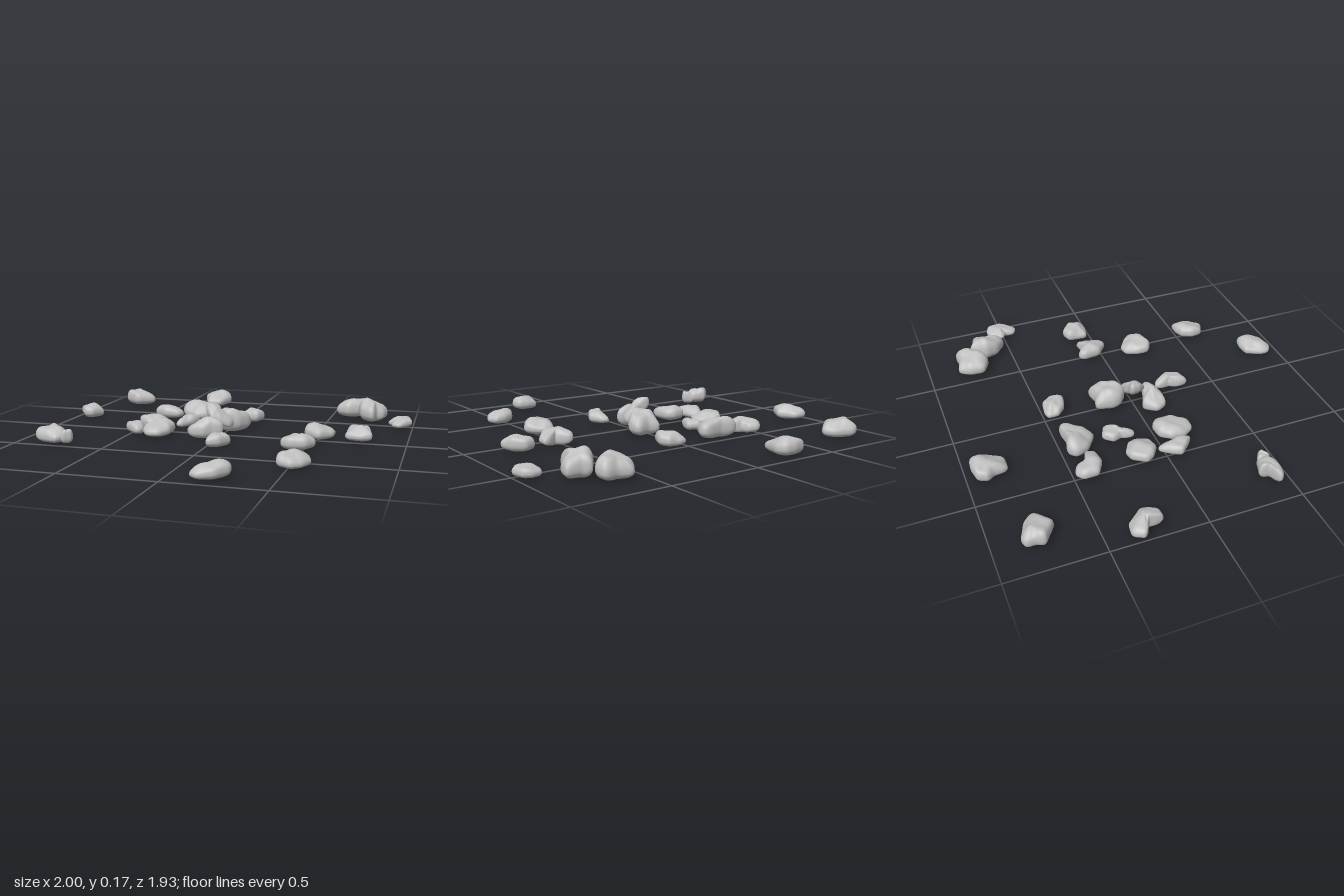
import * as THREE from 'three';
import { mergeVertices } from 'three/addons/utils/BufferGeometryUtils.js';

const stone = new THREE.MeshStandardMaterial({ color: 0xc0c0c0 });
stone.name = 'pale grey stone';

// Distance from the centre to the plan outline in one direction
function reachTo(outline, angle) {
  const d = new THREE.Vector2(Math.cos(angle), Math.sin(angle));
  let reach = 0;
  outline.forEach((a, i) => {
    const edge = outline[(i + 1) % outline.length].clone().sub(a);
    const det = d.cross(edge);
    if (Math.abs(det) < 1e-9) return;
    const along = a.cross(d) / det;
    if (along >= -1e-6 && along <= 1 + 1e-6) reach = Math.max(reach, a.cross(edge) / det);
  });
  return reach;
}

// The same distance with the corners worn round
function wornReach(outline, angle) {
  const near = reachTo(outline, angle - 0.13) + reachTo(outline, angle + 0.13);
  return 1.025 * (0.5 * reachTo(outline, angle) + 0.25 * near);
}

// Pebble over a plan outline, from base to top; slope leans it along x
function pebbleGeometry(outline, base, top, slope, seed) {
  const geo = new THREE.SphereGeometry(1, 48, 24);
  geo.deleteAttribute('uv');
  geo.deleteAttribute('normal');
  const pos = geo.attributes.position;
  const ridge = seed * 2.4;
  for (let i = 0; i < pos.count; i++) {
    const x = pos.getX(i), y = pos.getY(i), z = pos.getZ(i);
    const angle = Math.atan2(z, x);
    const flat = Math.hypot(x, z);
    const r = wornReach(outline, angle) * Math.pow(flat, y > 0 ? 0.95 : 0.8);
    const px = Math.cos(angle) * r, pz = Math.sin(angle) * r;
    // A lopsided crown with shallow dents above, a flatter belly below
    const lean = 0.15 * (x * Math.cos(ridge) + z * Math.sin(ridge));
    const dent = 0.11 * Math.sin(4 * x + seed * 1.7) * Math.sin(4 * z + seed * 2.9);
    const level = y > 0 ? 0.42 + 0.55 * Math.pow(y, 0.85) * (1 + lean * 1.5 + dent * 1.5)
      : 0.42 - 0.42 * Math.pow(-y, 0.8);
    pos.setXYZ(i, px, base + (top - base) * (level + lean * 0.5 * flat * (1 + y)) + slope * px, pz);
  }
  const welded = mergeVertices(geo, 1e-5);
  welded.computeVertexNormals();
  return welded;
}

export function createModel() {
  const group = new THREE.Group();
  group.name = 'scatteredRocks';
  let seed = 0;
  // Plan outline as x, z pairs in hundredths of a unit
  const rock = (name, top, plan, base = 0.004, slope = 0) => {
    const outline = [];
    for (let i = 0; i < plan.length; i += 2) outline.push(new THREE.Vector2(plan[i] / 100, plan[i + 1] / 100));
    const centre = new THREE.Vector2();
    outline.forEach((p) => centre.addScaledVector(p, 1 / outline.length));
    outline.forEach((p) => p.sub(centre));
    const mesh = new THREE.Mesh(pebbleGeometry(outline, base, top, slope, ++seed), stone);
    mesh.name = name;
    mesh.position.set(centre.x, 0, centre.y);
    group.add(mesh);
  };

  // Back rocks
  rock('backRightRock', 0.10, [-82, -86, -72, -82, -68, -77, -78, -69, -88, -76, -86, -80, -86, -85]);
  rock('backRock', 0.095, [-35, -95, -28, -96.5, -22, -96, -20, -91, -24, -79, -33, -79, -34, -86, -37, -90]);
  rock('backLeftLargeRock', 0.115, [58, -84, 65, -82, 72, -83, 73, -76, 68, -70, 60, -66, 53, -70, 54, -78]);
  rock('backLeftPointedRock', 0.13, [73, -74, 76, -71, 84, -70, 82, -62, 78, -60, 77, -52, 69, -58, 67, -65]);
  rock('backLeftSmallRock', 0.06, [89, -58, 94, -59, 98, -57, 99.5, -50, 93, -41, 88, -44, 90, -48, 86, -51]);

  // Outer rocks
  rock('rightHookedRock', 0.085, [-97, -38, -90, -37, -87, -33, -83.5, -29, -88, -21, -94, -21, -93, -28, -100.5, -32]);
  rock('rightFrontRock', 0.095, [-91, 43, -84, 40, -83, 35, -75, 38, -73, 43, -77, 48, -88, 46]);
  rock('rightFrontChip', 0.08, [-75, 38, -70, 41, -70, 43, -74, 46, -78, 42]);
  rock('leftRock', 0.085, [45, -12, 48, -15, 54, -9, 61, -13, 61, -5, 54, 4, 46, -2]);
  rock('leftOuterRock', 0.085, [68, -14, 74, -16, 80, -11, 82, -3, 76, -1, 67.5, -3]);
  rock('leftInnerRock', 0.085, [39, 20, 42, 13, 47, 12, 53, 16, 56, 20, 52, 27, 43, 29, 38.5, 26]);
  rock('frontLeftRock', 0.08, [44, 58, 47, 52, 52, 50, 58, 50, 60, 56, 57, 63, 52, 67, 45, 64]);
  rock('frontRock', 0.08, [12, 89, 16, 80, 22, 79, 28, 80, 29, 86, 24, 93, 16, 96, 12, 93]);

  // Middle cluster, back row
  rock('innerBackArmRock', 0.08, [-53, -46, -49, -49, -44, -47, -42, -41, -35, -41, -37, -35, -46, -34, -53, -38]);
  rock('innerBackWideRock', 0.11, [-37, -44, -33, -48, -25, -46, -14, -47, -13, -43, -19, -34, -25, -31, -34, -37]);
  rock('innerBackSmallRock', 0.08, [0, -48, 4, -49, 11, -48, 14, -43, 11, -36, 4, -38, 0, -42]);

  // Middle cluster, around the centre
  rock('innerRightRock', 0.075, [-53, -12, -48, -19, -43, -20, -36, -16, -34.5, -12, -38, -5, -45, -4, -51, -8]);
  rock('innerShardRock', 0.065, [-31, -22, -27, -27, -20, -24, -22, -18, -28, -9.5, -31, -11, -29, -17]);
  rock('centreRock', 0.135, [-6, -12, -3, -22, 3, -20, 11, -22, 12, -15, 8, -8, 0, -4, -5, -8]);
  rock('leaningRock', 0.155, [-10, -4, -4, -3, 6, -5, 5, 1, 1, 4, -4, 6, -8, 2], 0.07, -0.5);
  rock('centreFrontRock', 0.115, [-17, 9, -12, 2, -5, 5, 2, 7, 4, 10, -2, 12, -6, 15, -14, 15]);
  rock('innerFrontNarrowRock', 0.07, [-54, 7, -51, 2, -46, -4, -43, 1, -42, 12, -44, 16, -49, 12]);
  rock('innerFrontLargeRock', 0.085, [-41, 7, -37, 1, -30, 0, -26, 3, -26, 13, -30, 20, -37, 20, -41, 14]);
  rock('innerFrontRock', 0.075, [3, 16, 8, 18, 12, 25, 8, 32, 1, 35, 1, 29, 4, 24]);

  return group;
}
